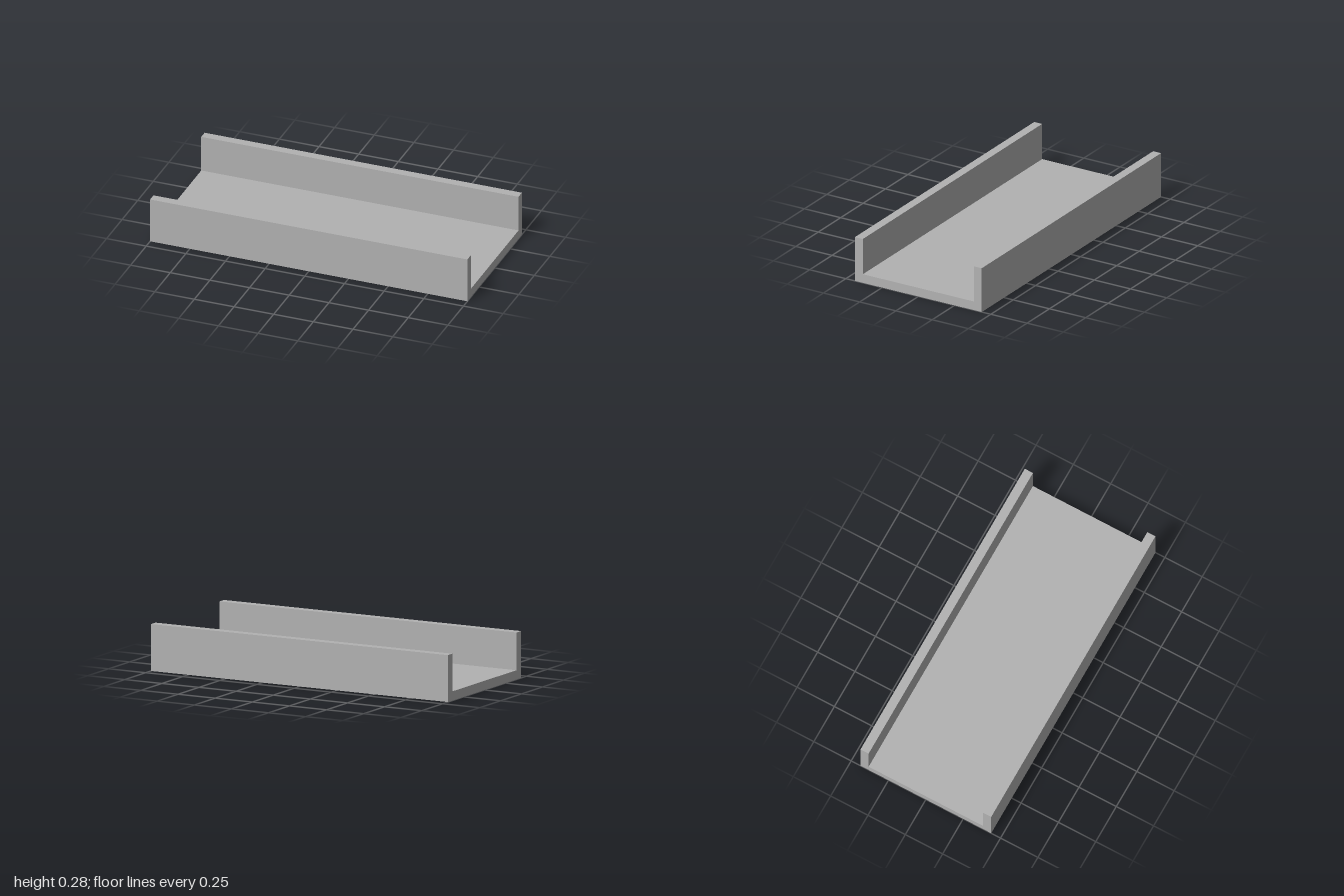
import * as THREE from 'three';

const LENGTH = 2, HALF_WIDTH = 0.4375, INNER = 0.383, HEIGHT = 0.28, FLOOR = 0.055;
const HOLE_X = 0.85, HOLE_Z = 0.19, HOLE_R = 0.03, HOLE_DEPTH = 0.04;

export function createModel() {
  const group = new THREE.Group();
  const grey = new THREE.MeshStandardMaterial({ color: 0xb2b2b2, side: THREE.DoubleSide });
  grey.name = 'plain grey';

  function add(name, geometry, x = 0, y = 0, z = 0) {
    const mesh = new THREE.Mesh(geometry, grey);
    mesh.name = name;
    mesh.position.set(x, y, z);
    group.add(mesh);
  }

  // U-shaped channel, extruded along x
  const profile = new THREE.Shape([
    [-HALF_WIDTH, 0], [HALF_WIDTH, 0], [HALF_WIDTH, HEIGHT], [INNER, HEIGHT],
    [INNER, FLOOR], [-INNER, FLOOR], [-INNER, HEIGHT], [-HALF_WIDTH, HEIGHT],
  ].map(([x, y]) => new THREE.Vector2(x, y)));
  const channel = new THREE.ExtrudeGeometry(profile, { depth: LENGTH, bevelEnabled: false })
    .translate(0, 0, -LENGTH / 2).rotateY(Math.PI / 2);

  // Leave the underside open, so that it can carry the drilled holes
  const source = channel.getAttribute('position');
  const kept = [];
  for (let i = 0; i < source.count; i += 3) {
    if ([0, 1, 2].some((k) => source.getY(i + k) > 1e-6)) {
      for (let k = 0; k < 3; k++) kept.push(source.getX(i + k), source.getY(i + k), source.getZ(i + k));
    }
  }
  const openChannel = new THREE.BufferGeometry();
  openChannel.setAttribute('position', new THREE.Float32BufferAttribute(kept, 3));
  openChannel.computeVertexNormals();
  add('channel', openChannel);

  // Underside with four blind screw holes
  const w = LENGTH / 2, d = HALF_WIDTH;
  const underside = new THREE.Shape([
    new THREE.Vector2(-w, -d), new THREE.Vector2(w, -d), new THREE.Vector2(w, d), new THREE.Vector2(-w, d),
  ]);
  const wall = new THREE.CylinderGeometry(HOLE_R, HOLE_R, HOLE_DEPTH, 32, 1, true);
  const end = new THREE.CircleGeometry(HOLE_R, 32).rotateX(Math.PI / 2);
  for (const x of [-HOLE_X, HOLE_X]) {
    for (const z of [-HOLE_Z, HOLE_Z]) {
      underside.holes.push(new THREE.Path().absarc(x, z, HOLE_R, 0, Math.PI * 2, true));
      add('screwHoleWall', wall, x, HOLE_DEPTH / 2, z);
      add('screwHoleEnd', end, x, HOLE_DEPTH, z);
    }
  }
  add('underside', new THREE.ShapeGeometry(underside, 16).rotateX(Math.PI / 2));

  return group;
}
